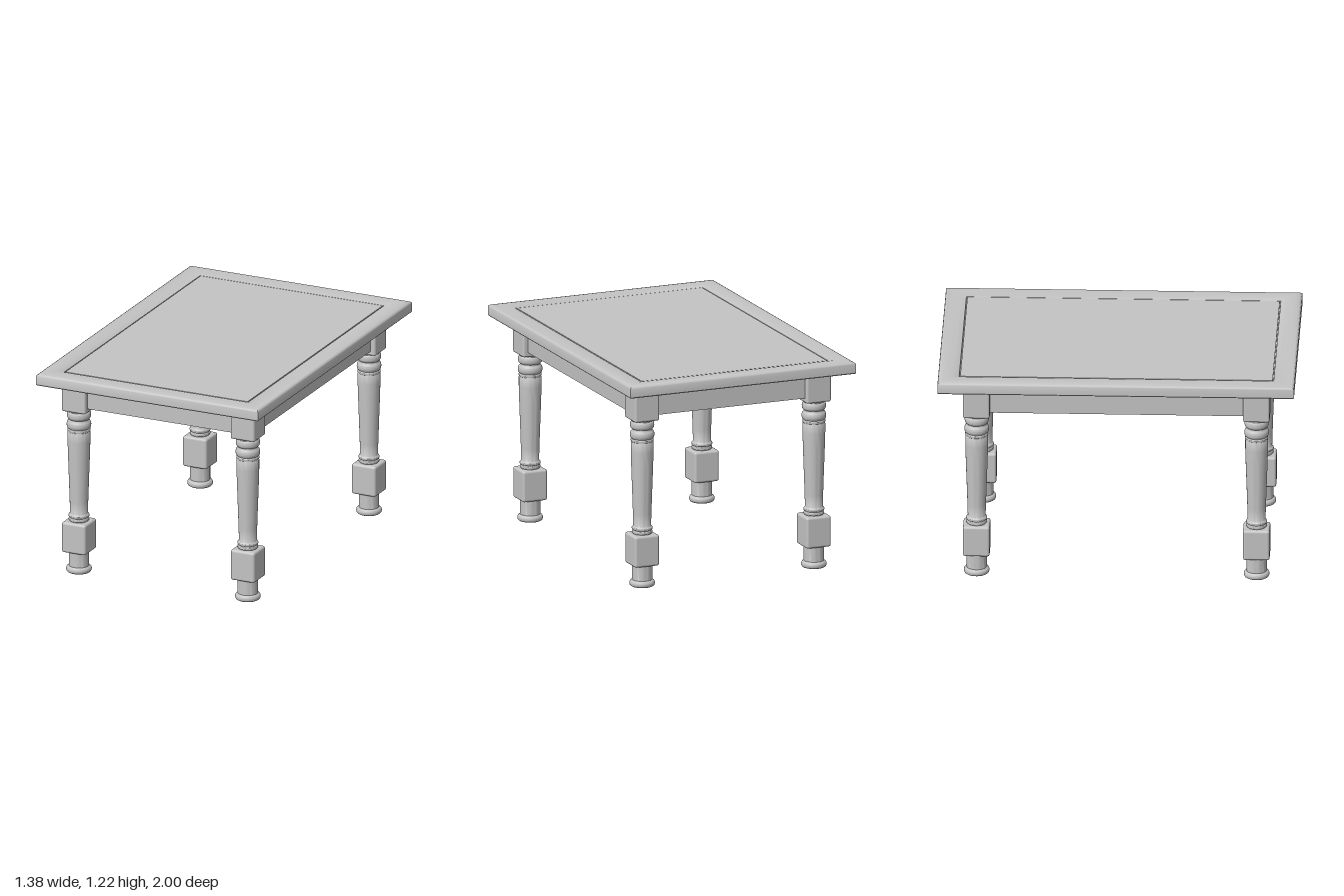
import * as THREE from 'three';
import { toCreasedNormals } from 'three/addons/utils/BufferGeometryUtils.js';
import { RoundedBoxGeometry } from 'three/addons/geometries/RoundedBoxGeometry.js';

const HALF_W = 0.69, HALF_D = 1.0; // tabletop half sizes
const LEG_X = 0.525, LEG_Z = 0.785, BLOCK = 0.15;

// Sweeps a closed profile of [inset, y] around a rectangle with mitred corners.
function mitredFrame(profile) {
  const corners = [[1, 1], [1, -1], [-1, -1], [-1, 1]];
  const positions = [], indices = [];
  for (const [sx, sz] of corners) {
    for (const [d, y] of profile) positions.push(sx * (HALF_W - d), y, sz * (HALF_D - d));
  }
  const n = profile.length;
  for (let c = 0; c < 4; c++) {
    for (let i = 0; i < n; i++) {
      const a = c * n + i, b = c * n + (i + 1) % n;
      const e = ((c + 1) % 4) * n + i, f = ((c + 1) % 4) * n + (i + 1) % n;
      indices.push(a, e, f, a, f, b);
    }
  }
  const geometry = new THREE.BufferGeometry();
  geometry.setAttribute('position', new THREE.Float32BufferAttribute(positions, 3));
  geometry.setIndex(indices);
  return toCreasedNormals(geometry, 0.7);
}

// Half-round bead for a turned profile, bulging from r0 to r1 between two heights.
function bead(y0, y1, r0, r1) {
  const points = [];
  for (let i = 0; i <= 8; i++) {
    const t = i / 8;
    points.push([r0 + (r1 - r0) * Math.sqrt(Math.sin(Math.PI * t)), y0 + (y1 - y0) * t]);
  }
  return points;
}

function turned(points) {
  const lathe = new THREE.LatheGeometry(points.map(([r, y]) => new THREE.Vector2(r, y)), 40);
  return toCreasedNormals(lathe, 0.7);
}

export function createModel() {
  const model = new THREE.Group();
  model.name = 'table';
  const grey = new THREE.MeshStandardMaterial({ color: 0xc4c4c4 });
  grey.name = 'light grey';

  const add = (parent, name, geometry, x = 0, y = 0, z = 0) => {
    const mesh = new THREE.Mesh(geometry, grey);
    mesh.name = name;
    mesh.position.set(x, y, z);
    parent.add(mesh);
    return mesh;
  };

  // Tabletop: moulded border around a slightly recessed panel
  add(model, 'tabletopFrame', mitredFrame([
    [0.005, 1.15], [0, 1.155], [0, 1.204], [0.003, 1.211], [0.012, 1.216], [0.03, 1.2195],
    [0.05, 1.22], [0.085, 1.218], [0.11, 1.213], [0.118, 1.209], [0.12, 1.2], [0.12, 1.15],
  ]));
  add(model, 'tabletopPanel', new THREE.BoxGeometry(1.132, 0.058, 1.752), 0, 1.181, 0);
  add(model, 'panelBed', new THREE.BoxGeometry(1.145, 0.048, 1.765), 0, 1.176, 0);

  // Aprons between the leg blocks, set in from their outer faces
  const apronH = 0.16, apronT = 0.035, inset = 0.03;
  const outX = LEG_X + BLOCK / 2 - inset - apronT / 2;
  const outZ = LEG_Z + BLOCK / 2 - inset - apronT / 2;
  for (const s of [1, -1]) {
    add(model, s > 0 ? 'frontApron' : 'backApron',
      new THREE.BoxGeometry(2 * LEG_X - 0.1, apronH, apronT), 0, 1.072, s * outZ);
    add(model, s > 0 ? 'leftApron' : 'rightApron',
      new THREE.BoxGeometry(apronT, apronH, 2 * LEG_Z - 0.1), s * outX, 1.072, 0);
  }

  // Shared leg geometry
  const topBlock = new RoundedBoxGeometry(BLOCK, 0.187, BLOCK, 3, 0.012);
  const lowerBlock = new RoundedBoxGeometry(BLOCK, 0.18, BLOCK, 3, 0.014);
  const foot = turned([
    [0, 0.03], [0.046, 0.03], [0.046, 0.004], [0.05, 0],
    ...bead(0, 0.036, 0.06, 0.072), [0.057, 0.038], [0.057, 0.13],
  ]);
  const shaft = turned([
    [0.054, 0.295], ...bead(0.305, 0.325, 0.052, 0.058), ...bead(0.326, 0.346, 0.052, 0.059),
    [0.05, 0.35], [0.052, 0.42], [0.056, 0.54], [0.061, 0.68], [0.064, 0.78], [0.064, 0.832],
    [0.061, 0.836], ...bead(0.838, 0.855, 0.061, 0.065), ...bead(0.856, 0.901, 0.06, 0.069),
    [0.058, 0.905], [0.058, 0.912], ...bead(0.914, 0.957, 0.06, 0.068), [0.06, 0.975],
  ]);

  // Four turned legs
  for (const sx of [1, -1]) {
    for (const sz of [1, -1]) {
      const leg = new THREE.Group();
      leg.name = (sz > 0 ? 'front' : 'back') + (sx > 0 ? 'Left' : 'Right') + 'Leg';
      leg.position.set(sx * LEG_X, 0, sz * LEG_Z);
      add(leg, 'topBlock', topBlock, 0, 1.0585, 0);
      add(leg, 'turnedShaft', shaft);
      add(leg, 'lowerBlock', lowerBlock, 0, 0.214, 0);
      add(leg, 'foot', foot);
      model.add(leg);
    }
  }
  return model;
}
